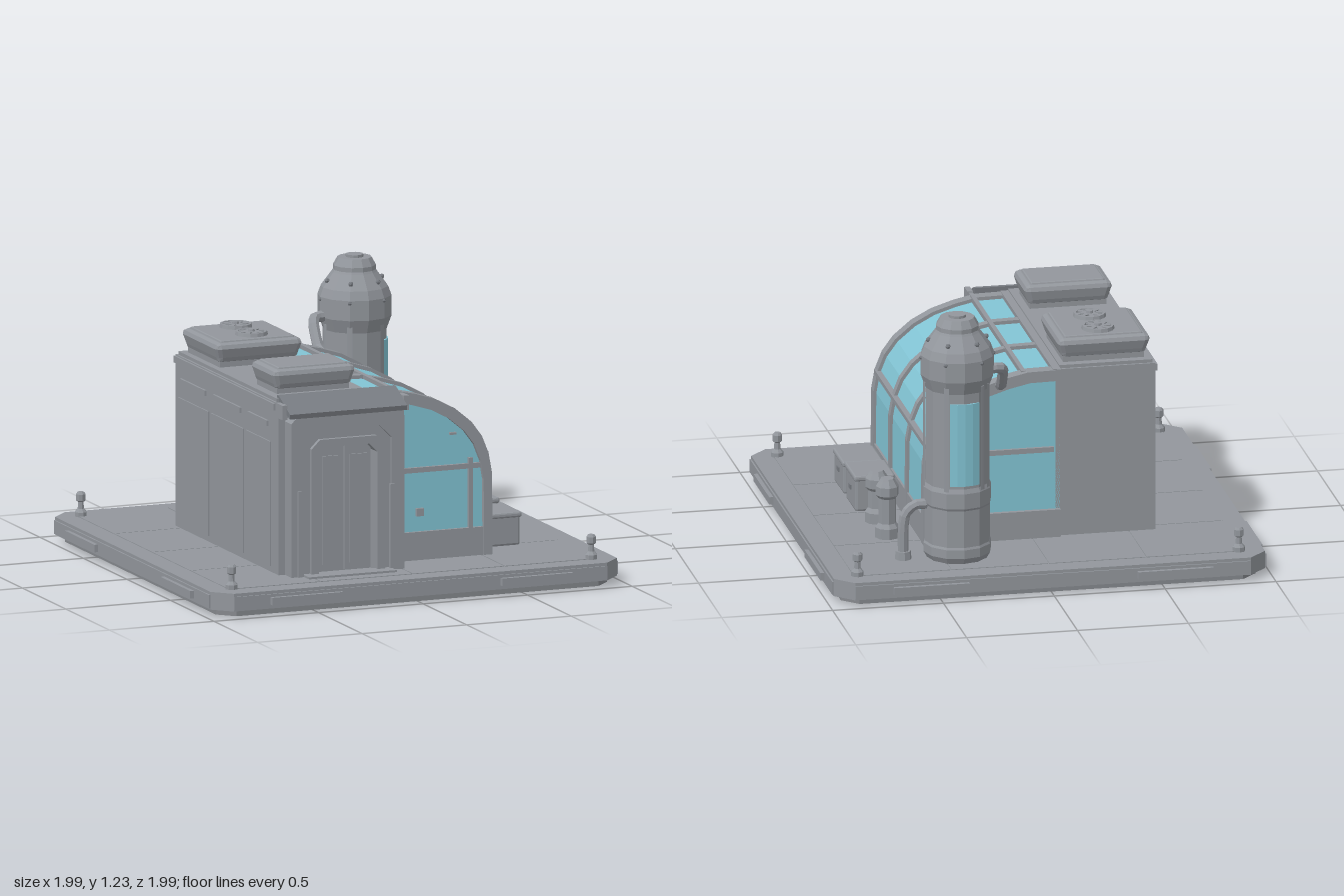
import * as THREE from 'three';
import { RoundedBoxGeometry } from 'three/addons/geometries/RoundedBoxGeometry.js';

const mat = (name, color) => {
  const m = new THREE.MeshStandardMaterial({ color });
  m.name = name;
  m.flatShading = true;
  return m;
};

export function createModel() {
  const model = new THREE.Group();
  model.name = 'greenhouseStation';
  const grey = mat('hull grey', 0x92969c);
  const dark = mat('dark grey', 0x787c82);
  const glass = mat('window blue', 0x82c4d4);
  const under = mat('underside', 0x85888d);

  // helpers
  const add = (name, geo, m = grey, x = 0, y = 0, z = 0) => {
    const mesh = new THREE.Mesh(geo, m);
    mesh.name = name;
    mesh.position.set(x, y, z);
    model.add(mesh);
    return mesh;
  };
  const box = (name, x0, x1, y0, y1, z0, z1, m = grey) =>
    add(name, new THREE.BoxGeometry(x1 - x0, y1 - y0, z1 - z0), m, (x0 + x1) / 2, (y0 + y1) / 2, (z0 + z1) / 2);
  const poly = pts => new THREE.Shape(pts.map(p => new THREE.Vector2(p[0], p[1])));
  const extrude = (shape, depth) => new THREE.ExtrudeGeometry(shape, { depth, bevelEnabled: false });
  const lathe = (pts, n) => new THREE.LatheGeometry(pts.map(p => new THREE.Vector2(p[0], p[1])), n);
  const tube = (name, pts, r) => add(name, new THREE.TubeGeometry(
    new THREE.CatmullRomCurve3(pts.map(p => new THREE.Vector3(...p)), false, 'catmullrom', 0.3), 14, r, 8));
  const chamfered = (w, d, c) => poly([[-w + c, -d], [w - c, -d], [w, -d + c], [w, d - c],
    [w - c, d], [-w + c, d], [-w, d - c], [-w, -d + c]]);

  // base plate
  const slab = (name, w, c, y0, y1, m) =>
    add(name, extrude(chamfered(w, w, c), y1 - y0).rotateX(-Math.PI / 2), m, 0, y0, 0);
  slab('baseFoot', 0.935, 0.07, 0, 0.04, under);
  slab('baseSlab', 0.972, 0.08, 0.03, 0.11, grey);
  const step = 0.44;
  for (let i = 0; i < 4; i++) for (let j = 0; j < 4; j++) {
    const x = -0.88 + i * step, z = -0.88 + j * step;
    box('floorTile', x + 0.003, x + step - 0.003, 0.108, 0.113, z + 0.003, z + step - 0.003);
  }
  for (let k = 0; k < 4; k++) {
    const side = new THREE.Group();
    side.name = 'baseEdge';
    side.rotation.y = k * Math.PI / 2;
    for (const [x, w, h, d] of [[-0.55, 0.34, 0.034, 0.03], [0.55, 0.34, 0.034, 0.03], [0, 1.78, 0.06, 0.012]]) {
      const m = new THREE.Mesh(new THREE.BoxGeometry(w, h, d), grey);
      m.name = 'edgePanel';
      m.position.set(x, 0.066, 0.97 + d / 2 - 0.003);
      side.add(m);
    }
    model.add(side);
  }

  // corner lamps
  for (const sx of [-1, 1]) for (const sz of [-1, 1])
    add('cornerPost', lathe([[0, 0], [0.028, 0], [0.028, 0.02], [0.015, 0.035], [0.013, 0.065], [0.022, 0.072],
      [0.022, 0.1], [0.014, 0.11], [0, 0.11]], 8), grey, sx * 0.86, 0.11, sz * 0.865);

  // service block
  box('serviceBlock', -0.56, -0.11, 0.11, 0.885, -0.5, 0.65);
  box('roofPlate', -0.55, -0.13, 0.88, 0.9, -0.49, 0.64);
  for (const [z0, z1] of [[-0.46, -0.11], [-0.08, 0.29], [0.32, 0.6]]) {
    box('wallPanel', -0.566, -0.555, 0.14, 0.7, z0, z1);
    box('wallSlat', -0.57, -0.555, 0.765, 0.79, z0 + 0.03, z1 - 0.03);
  }
  box('wallTrim', -0.57, -0.55, 0.85, 0.88, -0.5, 0.65);

  // entrance with nested arches
  const arch = (x0, x1, y1, c) => [[x0, 0.11], [x1, 0.11], [x1, y1 - c], [x1 - c, y1], [x0 + c, y1], [x0, y1 - c]];
  const archRing = (name, a, b, z0, z1) => {
    const s = poly(arch(...a));
    s.holes.push(poly(arch(...b).map(p => [p[0], p[1] === 0.11 ? 0.112 : p[1]]).reverse()));
    add(name, extrude(s, z1 - z0), grey, 0, 0, z0);
  };
  box('entranceBody', -0.56, 0.04, 0.11, 0.88, 0.6, 0.685);
  archRing('outerArch', [-0.53, 0.01, 0.845, 0.04], [-0.47, -0.05, 0.77, 0.06], 0.68, 0.76);
  archRing('middleArch', [-0.48, -0.04, 0.78, 0.05], [-0.43, -0.09, 0.72, 0.04], 0.68, 0.745);
  archRing('doorFrame', [-0.435, -0.085, 0.725, 0.04], [-0.4, -0.12, 0.69, 0.04], 0.68, 0.765);
  for (const x of [-0.388, -0.258]) {
    box('doorLeaf', x, x + 0.126, 0.12, 0.68, 0.68, 0.715);
    box('doorPanel', x + 0.025, x + 0.105, 0.15, 0.64, 0.71, 0.722);
  }
  for (const x of [-0.49, -0.05]) box('doorRail', x - 0.01, x + 0.01, 0.11, 0.5, 0.755, 0.77);
  box('doorStep', -0.47, -0.05, 0.108, 0.122, 0.74, 0.82);
  const hood = add('entranceHood', extrude(poly([[0.62, 0.88], [0.765, 0.828], [0.77, 0.85], [0.64, 0.912], [0.62, 0.912]]), 0.56)
    .rotateY(-Math.PI / 2), dark);
  hood.position.x = 0.02;
  for (const x of [-0.56, 0.02]) box('hoodBracket', x, x + 0.025, 0.82, 0.885, 0.66, 0.73);

  // curved glasshouse
  const arc = [[-0.13, 0.89], [0.02, 0.887], [0.12, 0.865], [0.22, 0.833], [0.31, 0.785], [0.39, 0.718],
    [0.44, 0.65], [0.472, 0.57], [0.488, 0.48], [0.49, 0.24], [0.49, 0.11]];
  const inset = k => arc.map(([x, y]) => [-0.13 + (x + 0.13) * k, 0.11 + (y - 0.11) * k]);
  add('glassShell', extrude(poly([[-0.13, 0.11], ...inset(0.98).reverse()]), 1.1), glass, 0, 0, -0.5);
  const rib = poly([...arc, ...inset(0.935).reverse()]);
  for (const [z0, z1] of [[0.565, 0.62], [0.21, 0.25], [-0.15, -0.112], [-0.525, -0.465]])
    add('archRib', extrude(rib, z1 - z0), grey, 0, 0, z0);
  box('sill', -0.13, 0.487, 0.11, 0.24, -0.52, 0.615);
  box('sideRail', 0.45, 0.48, 0.555, 0.575, -0.5, 0.6);
  box('topRail', 0.025, 0.045, 0.86, 0.888, -0.5, 0.6);
  box('ridgeRail', -0.13, -0.095, 0.86, 0.893, -0.52, 0.62);
  for (const z of [-0.515, 0.595]) {
    box('gableBar', -0.1, 0.44, 0.507, 0.53, z, z + 0.02);
    box('gablePost', 0.38, 0.4, 0.24, 0.555, z, z + 0.02);
  }
  box('gableLatch', 0.13, 0.165, 0.31, 0.345, 0.59, 0.615);
  box('gableHook', 0.29, 0.32, 0.665, 0.675, 0.59, 0.615);

  // roof units
  const roofUnit = (name, x0, x1, z0, z1) => {
    const w = x1 - x0, d = z1 - z0, x = (x0 + x1) / 2, z = (z0 + z1) / 2;
    box(name + 'Base', x0 + 0.025, x1 - 0.025, 0.89, 0.94, z0 + 0.025, z1 - 0.025);
    const tray = new RoundedBoxGeometry(w, 0.09, d, 1, 0.025);
    const p = tray.attributes.position;
    for (let i = 0; i < p.count; i++) if (p.getY(i) < 0) {
      p.setX(i, p.getX(i) * 0.94);
      p.setZ(i, p.getZ(i) * 0.94);
    }
    add(name + 'Housing', tray, grey, x, 0.965, z);
    add(name + 'Lid', new RoundedBoxGeometry(w - 0.06, 0.02, d - 0.06, 1, 0.008), grey, x, 1.008, z);
  };
  roofUnit('fanUnit', -0.545, -0.13, -0.475, -0.06);
  roofUnit('ventUnit', -0.535, -0.14, 0.295, 0.57);
  for (const z of [-0.36, -0.18]) {
    add('fanRing', lathe([[0.075, 0], [0.07, 0.02], [0.06, 0.02], [0.055, 0.006], [0, 0.006]], 14), grey, -0.33, 1.014, z);
    add('fanHub', new THREE.CylinderGeometry(0.015, 0.02, 0.025, 8), grey, -0.33, 1.03, z);
    for (let i = 0; i < 4; i++) {
      const blade = add('fanBlade', new THREE.BoxGeometry(0.12, 0.005, 0.02), grey, -0.33, 1.03, z);
      blade.rotation.set(0, i * Math.PI / 4, 0);
    }
  }

  // tank tower
  const tx = 0.37, tz = -0.675;
  add('tower', lathe([[0, 0.11], [0.135, 0.11], [0.152, 0.14], [0.152, 0.18], [0.147, 0.19], [0.147, 0.36], [0.152, 0.37],
    [0.152, 0.44], [0.143, 0.46], [0.143, 0.9], [0.165, 0.96], [0.165, 1.05], [0.15, 1.09], [0.102, 1.155],
    [0.096, 1.165], [0.096, 1.185], [0.076, 1.22], [0.04, 1.22], [0.04, 1.232], [0, 1.232]], 12), grey, tx, 0, tz);
  // azimuth is measured from +x toward +z
  const curved = (name, r, y0, y1, az, width, m) => add(name, new THREE.CylinderGeometry(r, r, y1 - y0, 4, 1, false,
    Math.PI / 2 - az - width / 2, width), m, tx, (y0 + y1) / 2, tz);
  for (const az of [0.47, -1.62]) {
    curved('towerWindow', 0.148, 0.475, 0.855, az, 0.96, glass);
    for (const s of [-1, 1]) curved('windowPost', 0.154, 0.45, 0.93, az + s * 0.57, 0.16, grey);
  }
  for (const az of [2.1, 3.0, 3.8]) curved('towerRib', 0.152, 0.45, 0.93, az, 0.16, grey);
  for (let i = 0; i < 6; i++) {
    const a = i * Math.PI / 3;
    add('towerBolt', new THREE.SphereGeometry(0.012, 6, 4), dark, tx + 0.13 * Math.cos(a), 1.12, tz + 0.13 * Math.sin(a));
    add('collarBolt', new THREE.SphereGeometry(0.01, 6, 4), dark, tx + 0.162 * Math.cos(a), 1.04, tz + 0.162 * Math.sin(a));
  }

  // pipes
  tube('upperPipe', [[0.26, 0.96, -0.67], [0.18, 0.965, -0.66], [0.155, 0.94, -0.63], [0.145, 0.85, -0.55], [0.145, 0.83, -0.49]], 0.025);
  tube('lowerPipe', [[0.48, 0.36, -0.68], [0.56, 0.36, -0.68], [0.605, 0.32, -0.68], [0.615, 0.25, -0.68], [0.615, 0.11, -0.68]], 0.024);
  add('pipeCollar', new THREE.CylinderGeometry(0.034, 0.038, 0.04, 8), grey, 0.615, 0.13, -0.68);

  // canisters
  for (const [z, h] of [[-0.135, 0.24], [-0.36, 0.275]])
    add('canister', lathe([[0, 0], [0.054, 0], [0.054, 0.05], [0.04, 0.07], [0.04, h - 0.09], [0.052, h - 0.075],
      [0.052, h - 0.035], [0.036, h - 0.01], [0.03, h], [0, h]], 8), grey, 0.62, 0.11, z);

  // storage crates
  for (const [z, h] of [[0.115, 0.165], [0.37, 0.15]]) {
    add('crate', new RoundedBoxGeometry(0.172, h, 0.205, 1, 0.012), grey, 0.6, 0.11 + h / 2, z);
    add('crateLid', new RoundedBoxGeometry(0.182, 0.025, 0.218, 1, 0.008), grey, 0.6, 0.1 + h, z);
    box('crateLatch', 0.685, 0.692, 0.19, 0.21, z - 0.02, z + 0.02, dark);
  }
  return model;
}
